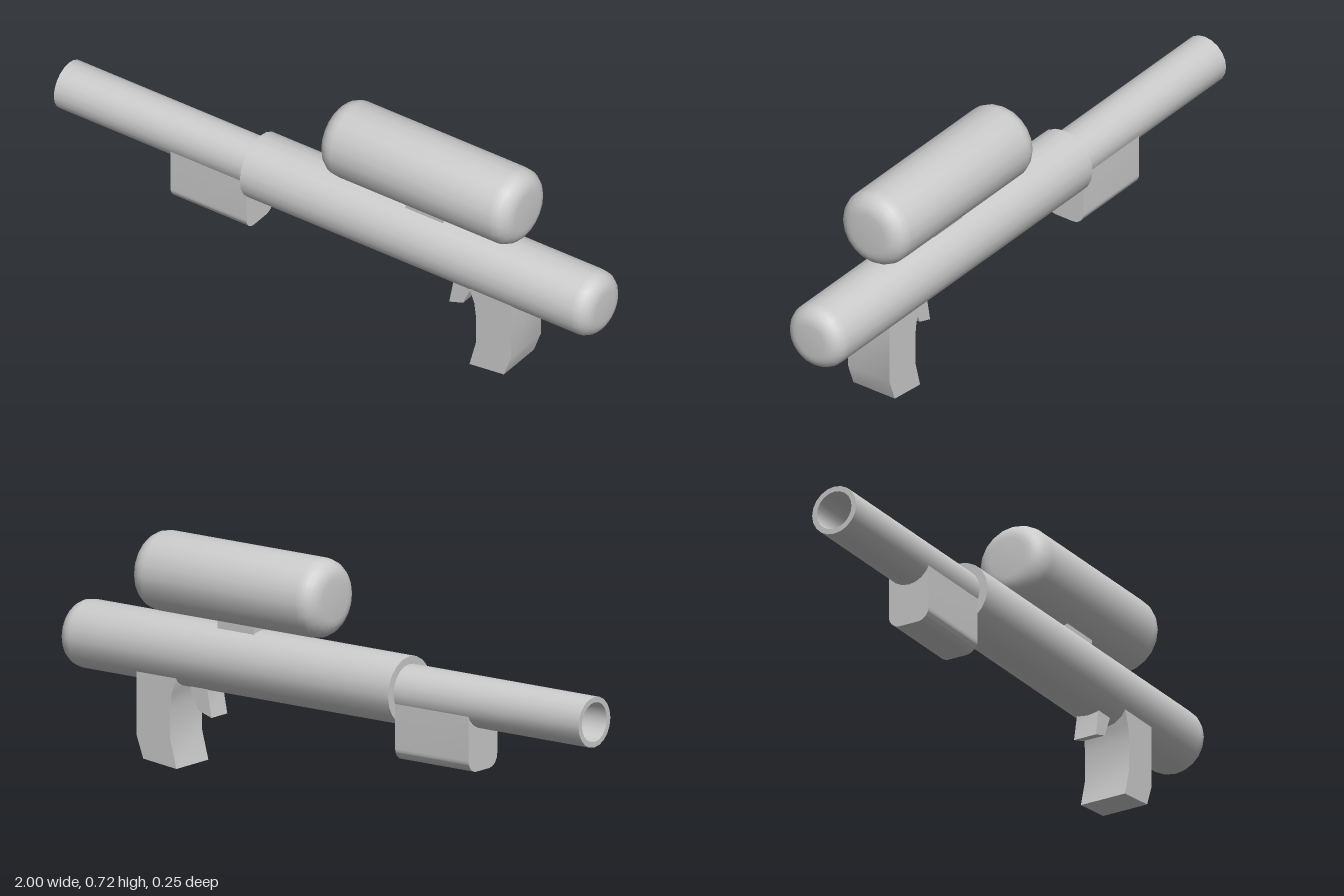
import * as THREE from 'three';
import { toCreasedNormals } from 'three/addons/utils/BufferGeometryUtils.js';

const SIDES = 20;

export function createModel() {
  const model = new THREE.Group();
  const material = new THREE.MeshStandardMaterial({ color: 0xcccccc });

  function add(name, geometry) {
    const mesh = new THREE.Mesh(geometry, material);
    mesh.name = name;
    model.add(mesh);
    return mesh;
  }

  // Turned part along x; profile is a list of [x, radius] with x rising on the outside
  function turned(name, profile, y) {
    const points = profile.map(([x, r]) => new THREE.Vector2(r, x));
    const geometry = new THREE.LatheGeometry(points, SIDES);
    geometry.rotateZ(-Math.PI / 2);
    add(name, toCreasedNormals(geometry, 0.6)).position.y = y;
  }

  // Quarter-round rim: steps from angle a0 to a1 around (cx, cr)
  function rim(cx, cr, radius, a0, a1, steps = 6) {
    return Array.from({ length: steps + 1 }, (_, i) => {
      const a = a0 + ((a1 - a0) * i) / steps;
      return [cx + radius * Math.cos(a), cr + radius * Math.sin(a)];
    });
  }

  // Side outline extruded symmetrically across z
  function plate(name, outline, width) {
    const shape = new THREE.Shape(outline.map(([x, y]) => new THREE.Vector2(x, y)));
    const geometry = new THREE.ExtrudeGeometry(shape, { depth: width, bevelEnabled: false });
    geometry.translate(0, 0, -width / 2);
    add(name, toCreasedNormals(geometry, 0.4));
  }

  const half = Math.PI / 2;

  // Main body: flat at the barrel end, rounded at the rear
  turned('body', [[-0.287, 0], [-0.287, 0.1065], ...rim(0.945, 0.0515, 0.055, half, 0), [1, 0]], 0.3525);

  // Hollow barrel with a thin wall
  turned('barrel', [[-0.29, 0], [-0.29, 0.062], [-1, 0.062], [-1, 0.079], [-0.27, 0.079]], 0.356);

  // Tank with both ends rounded
  turned('tank', [
    [0, 0], ...rim(0.06, 0.064, 0.06, Math.PI, half),
    ...rim(0.65, 0.064, 0.06, half, 0), [0.71, 0],
  ], 0.592);

  // Short block joining tank and body
  add('tankMount', new THREE.BoxGeometry(0.14, 0.06, 0.078)).position.set(0.353, 0.46, 0);

  // Foregrip: U-shaped section with rounded lower edges, run along x
  const w = 0.071, top = 0.33, bottom = 0.145, r = 0.04;
  const section = new THREE.Shape();
  section.moveTo(-w, top);
  section.lineTo(-w, bottom + r);
  section.absarc(-w + r, bottom + r, r, Math.PI, 1.5 * Math.PI, false);
  section.absarc(w - r, bottom + r, r, 1.5 * Math.PI, 2 * Math.PI, false);
  section.lineTo(w, top);
  section.closePath();
  const foregrip = new THREE.ExtrudeGeometry(section, { depth: 0.283, bevelEnabled: false, curveSegments: 6 });
  foregrip.rotateY(half);
  foregrip.translate(-0.57, 0, 0);
  add('foregrip', toCreasedNormals(foregrip, 0.6));

  // Pistol grip and trigger
  plate('grip', [
    [0.552, 0.3], [0.552, 0.28], [0.568, 0.235], [0.574, 0.19], [0.574, 0.09], [0.55, 0],
    [0.678, 0.014], [0.704, 0.085], [0.704, 0.3],
  ], 0.158);
  plate('trigger', [
    [0.462, 0.29], [0.462, 0.25], [0.446, 0.167], [0.498, 0.184], [0.527, 0.253], [0.527, 0.29],
  ], 0.078);

  return model;
}
